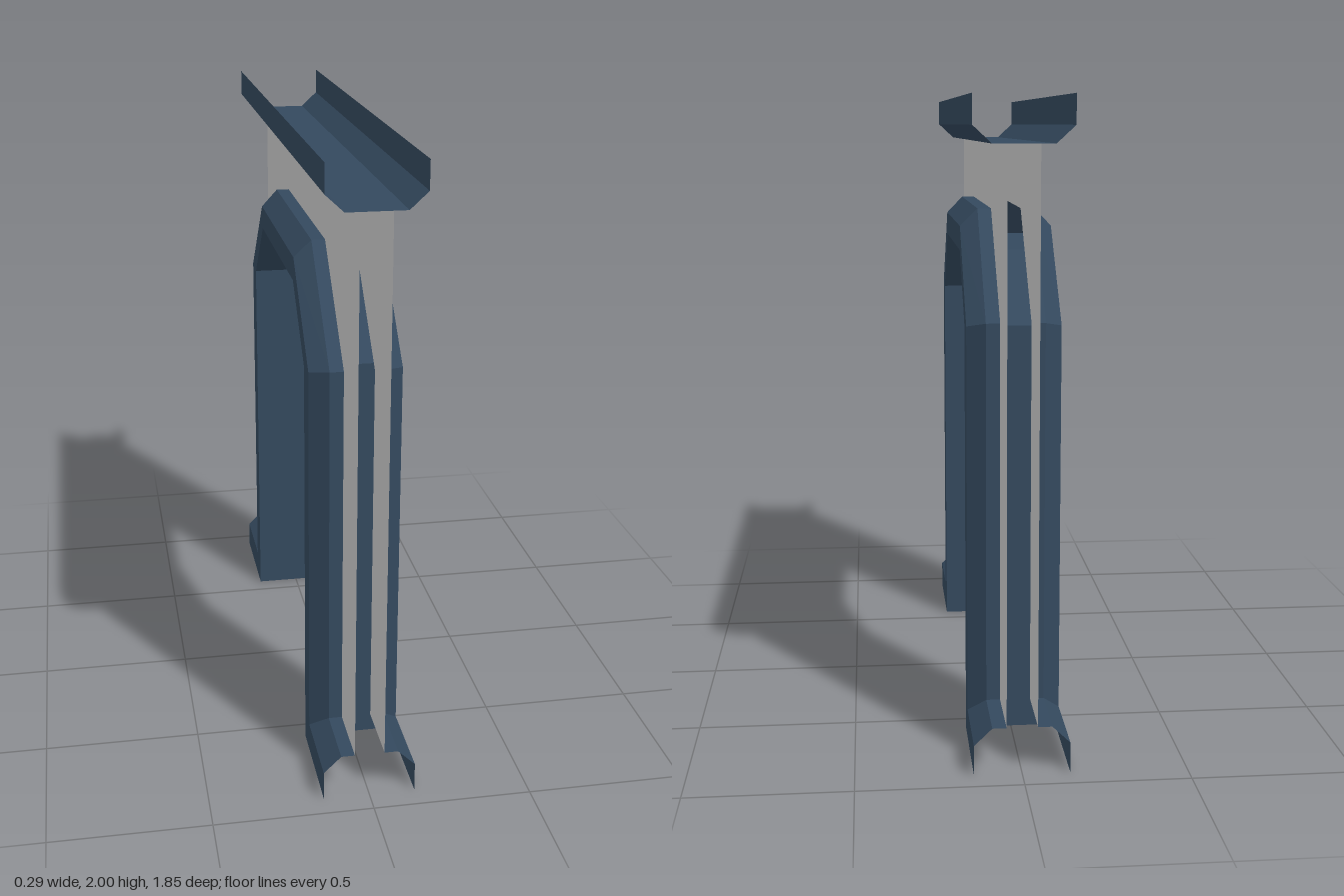
import * as THREE from 'three';

const HALF = 0.925; // half length along z
const WALL_X = 0.047, BEVEL_X = 0.09, OUT_X = 0.145;

// Mirrors half an outline of [z, y] points to the other side of z = 0
const mirror = (half) => [...half, ...half.slice().reverse().map(([z, y]) => [-z, y])];

// Outlines of the doorway trim: opening edge, bevel line and wall edge
const inner = mirror([[HALF, 0], [0.567, 0], [0.567, 1.305], [0.353, 1.52]]);
const middle = mirror([[HALF, 0.093], [0.648, 0.093], [0.648, 1.315], [0.366, 1.597]]);
const outer = mirror([[HALF, 0.146], [0.703, 0.146], [0.703, 1.33], [0.376, 1.653]]);

// Flat-faced sheet through rows of { x, line } cross-section points
function sheet(rows, skip = () => false) {
  const pos = [];
  for (let r = 0; r < rows.length - 1; r++) {
    const a = rows[r], b = rows[r + 1];
    for (let i = 0; i < a.line.length - 1; i++) {
      if (skip(r, i)) continue;
      const p = (row, k) => [row.x, row.line[k][1], row.line[k][0]];
      const [A, B, C, D] = [p(a, i), p(a, i + 1), p(b, i + 1), p(b, i)];
      pos.push(...A, ...B, ...C, ...A, ...C, ...D);
    }
  }
  const geo = new THREE.BufferGeometry();
  geo.setAttribute('position', new THREE.Float32BufferAttribute(pos, 3));
  geo.computeVertexNormals();
  return geo;
}

export function createModel() {
  const group = new THREE.Group();
  const trimMat = new THREE.MeshStandardMaterial({ color: 0x34495e, side: THREE.DoubleSide });
  trimMat.name = 'slate blue trim';
  const wallMat = new THREE.MeshStandardMaterial({ color: 0xcccccc, side: THREE.DoubleSide });
  wallMat.name = 'light grey wall';

  const add = (name, geo, mat) => {
    const mesh = new THREE.Mesh(geo, mat);
    mesh.name = name;
    group.add(mesh);
    return mesh;
  };

  // Doorway frame and skirting, open underneath and at the ends
  const side = [
    { x: WALL_X, line: outer }, { x: BEVEL_X, line: outer },
    { x: OUT_X, line: middle }, { x: OUT_X, line: inner },
  ];
  const rows = [
    ...side.map(({ x, line }) => ({ x: -x, line })),
    ...side.slice().reverse(),
  ];
  const last = inner.length - 2;
  add('doorFrame', sheet(rows, (r, i) => r === 3 && (i === 0 || i === last)), trimMat);

  // Open trough along the top of the wall
  const rail = [
    [-OUT_X, 2], [-OUT_X, 1.913], [-BEVEL_X, 1.862],
    [BEVEL_X, 1.862], [OUT_X, 1.913], [OUT_X, 2],
  ].map(([x, y]) => ({ x, line: [[HALF, y], [-HALF, y]] }));
  add('topRail', sheet(rail), trimMat);

  // Two thin wall skins with the doorway cut out
  const shape = new THREE.Shape(
    [...outer, [-HALF, 1.862], [HALF, 1.862]].map(([z, y]) => new THREE.Vector2(z, y)));
  for (const s of [1, -1]) {
    const geo = new THREE.ShapeGeometry(shape).rotateY(s * Math.PI / 2);
    add(s > 0 ? 'leftWall' : 'rightWall', geo, wallMat).position.x = s * WALL_X;
  }
  return group;
}
